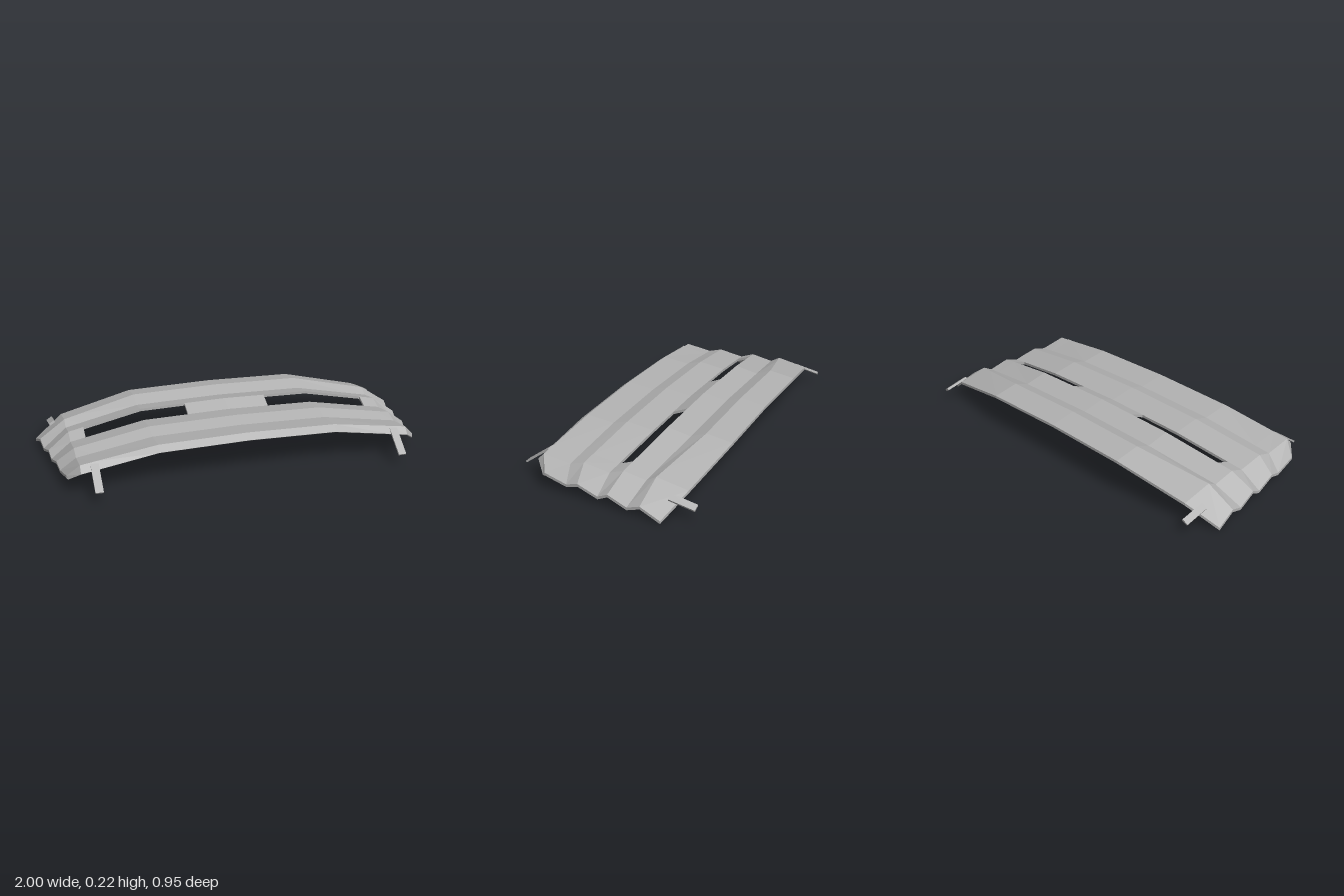
import * as THREE from 'three';

// Cross-sections of the ribbed panel from the centre line to the side edge.
// Each lists nine rows from back to front: back edge, three ridge/valley pairs, front ridge, lip.
const zMid = [-0.465, -0.33, -0.25, -0.128, -0.05, 0.09, 0.17, 0.315, 0.352];
const yMid = [0.2, 0.225, 0.195, 0.222, 0.19, 0.213, 0.19, 0.21, 0.183];
const stations = [
  { x: zMid.map(() => 0), z: zMid, y: yMid },
  { x: zMid.map(() => 0.46), z: zMid, y: yMid.map((y) => y - 0.01) },
  {
    x: zMid.map(() => 0.85),
    z: [-0.41, -0.25, -0.2, -0.085, -0.012, 0.122, 0.195, 0.337, 0.37],
    y: [0.112, 0.147, 0.12, 0.145, 0.12, 0.145, 0.125, 0.15, 0.117],
  },
  {
    x: [1, 0.985, 0.975, 0.96, 0.953, 0.94, 0.93, 0.913, 0.908],
    z: [-0.337, -0.23, -0.16, -0.055, 0, 0.11, 0.175, 0.3, 0.313],
    y: [0.016, 0.058, 0.033, 0.068, 0.043, 0.078, 0.058, 0.085, 0.07],
  },
];

// Columns as (station, blend to the next); the extra ones bound the slots
const half = [[0, 0], [0, 0.48], [1, 0], [1, 0.795], [2, 0], [2, 1]];
const columns = [
  ...half.slice(1).reverse().map(([s, t]) => [s, t, -1]),
  ...half.map(([s, t]) => [s, t, 1]),
];
const ROWS = 8, COLS = columns.length - 1;
const slotRow = 3, slotCols = [2, 3, 6, 7];

function topPoint(r, c) {
  const [s, t, side] = columns[c];
  const a = stations[s], b = stations[s + 1];
  const mix = (k) => THREE.MathUtils.lerp(a[k][r], b[k][r], t);
  return [side * mix('x'), mix('y'), mix('z')];
}

function bottomPoint(r, c) {
  const [x, y, z] = topPoint(r, c);
  return r === ROWS ? [x, y - 0.007, z - 0.012] : [x, y - 0.014, z];
}

// Solid thin shell with open slots
function panelGeometry() {
  const pos = [];
  const quad = (a, b, c, d) => pos.push(...a, ...b, ...c, ...a, ...c, ...d);
  const filled = (r, c) => r >= 0 && r < ROWS && c >= 0 && c < COLS
    && !(r === slotRow && slotCols.includes(c));
  for (let r = 0; r < ROWS; r++) {
    for (let c = 0; c < COLS; c++) {
      if (!filled(r, c)) continue;
      const corners = [[r, c], [r + 1, c], [r + 1, c + 1], [r, c + 1]];
      const top = corners.map((p) => topPoint(...p));
      const low = corners.map((p) => bottomPoint(...p));
      quad(...top);
      quad(low[3], low[2], low[1], low[0]);
      // Walls along outer borders and slot rims
      const neighbours = [[r, c - 1], [r + 1, c], [r, c + 1], [r - 1, c]];
      neighbours.forEach((n, i) => {
        const j = (i + 1) % 4;
        if (!filled(...n)) quad(top[i], low[i], low[j], top[j]);
      });
    }
  }
  const geometry = new THREE.BufferGeometry();
  geometry.setAttribute('position', new THREE.Float32BufferAttribute(pos, 3));
  geometry.computeVertexNormals();
  return geometry;
}

// Flat strip between two points, rolled about its length
function strip(name, from, to, width, thickness, roll, material) {
  const a = new THREE.Vector3(...from), b = new THREE.Vector3(...to);
  const mesh = new THREE.Mesh(new THREE.BoxGeometry(width, thickness, a.distanceTo(b)), material);
  mesh.name = name;
  mesh.position.copy(a).add(b).multiplyScalar(0.5);
  mesh.rotation.set(-Math.atan2(b.y - a.y, b.z - a.z), 0, roll);
  return mesh;
}

export function createModel() {
  const model = new THREE.Group();
  model.name = 'windowLouver';
  const grey = new THREE.MeshStandardMaterial({ color: 0xb0b0b0, flatShading: true });
  grey.name = 'grey';

  const panel = new THREE.Mesh(panelGeometry(), grey);
  panel.name = 'louverPanel';
  model.add(panel);

  // Mounting tabs at the four corners
  for (const side of [-1, 1]) {
    const label = side > 0 ? 'left' : 'right';
    model.add(strip(`${label}FrontTab`, [side * 0.78, 0.15, 0.342], [side * 0.78, 0.058, 0.472],
      0.04, 0.009, 0, grey));
    model.add(strip(`${label}BackTab`, [side * 0.907, 0.064, -0.472], [side * 0.907, 0.093, -0.343],
      0.034, 0.012, -side * 0.55, grey));
  }
  return model;
}
